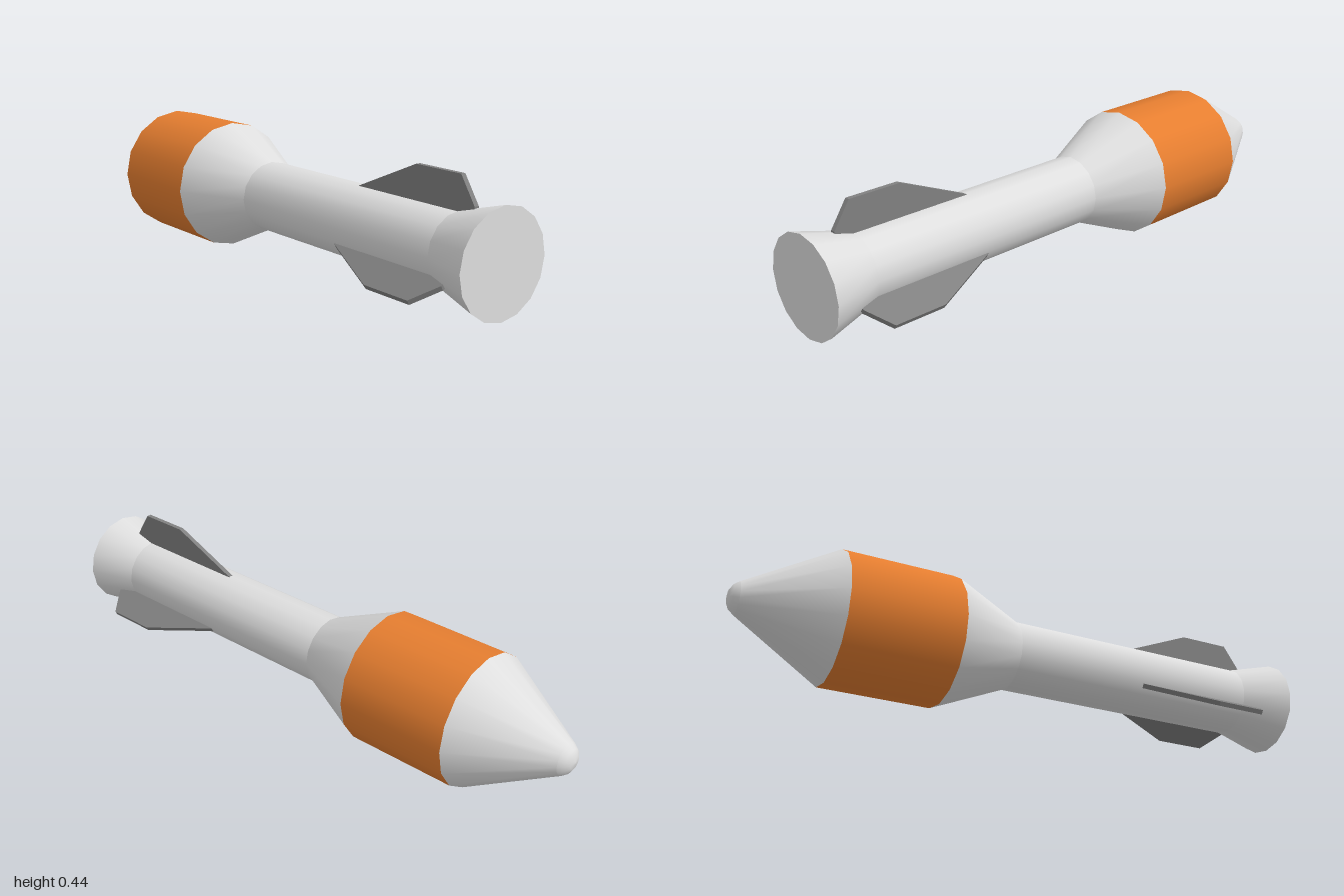
import * as THREE from 'three';

export function createModel() {
  const rocket = new THREE.Group();
  rocket.name = 'rocket';
  const axisY = 0.223;

  const mat = (name, color) => {
    const m = new THREE.MeshStandardMaterial({ color });
    m.name = name;
    return m;
  };
  const white = mat('offWhite', 0xdedede);
  const orange = mat('orange', 0xe67e30);
  const grey = mat('finGrey', 0x808080);

  // Sixteen-sided section turned about the x axis; profile is [x, radius] from nose to tail
  const section = (name, material, profile) => {
    const geo = new THREE.LatheGeometry(profile.map(([x, r]) => new THREE.Vector2(r, x)), 16);
    geo.rotateZ(-Math.PI / 2);
    const mesh = new THREE.Mesh(geo, material);
    mesh.name = name;
    mesh.position.y = axisY;
    rocket.add(mesh);
  };

  section('noseTip', white, [[-1, 0], [-0.997, 0.022], [-0.987, 0.04], [-0.97, 0.053]]);
  section('noseCone', white, [[-0.97, 0.053], [-0.68, 0.221]]);
  section('warheadBand', orange, [[-0.68, 0.221], [-0.3, 0.221]]);
  section('shoulder', white, [[-0.3, 0.221], [-0.06, 0.117]]);
  section('tube', white, [[-0.06, 0.117], [0.83, 0.117]]);
  section('tailFlare', white, [[0.83, 0.117], [1, 0.164]]);
  section('tailCap', white, [[1, 0.164], [1, 0]]);

  // Three swept fins, rooted inside the tube
  const outline = new THREE.Shape([
    [0.41, 0.1], [0.41, 0.117], [0.66, 0.223], [0.84, 0.223], [0.895, 0.14], [0.895, 0.1],
  ].map(([x, y]) => new THREE.Vector2(x, y)));
  const thickness = 0.016;
  const finGeo = new THREE.ExtrudeGeometry(outline, { depth: thickness, bevelEnabled: false });
  finGeo.translate(0, 0, -thickness / 2);
  for (let i = 0; i < 3; i++) {
    const fin = new THREE.Mesh(finGeo, grey);
    fin.name = ['topFin', 'frontFin', 'backFin'][i];
    fin.position.y = axisY;
    fin.rotation.x = (i * 2 * Math.PI) / 3;
    rocket.add(fin);
  }

  return rocket;
}
